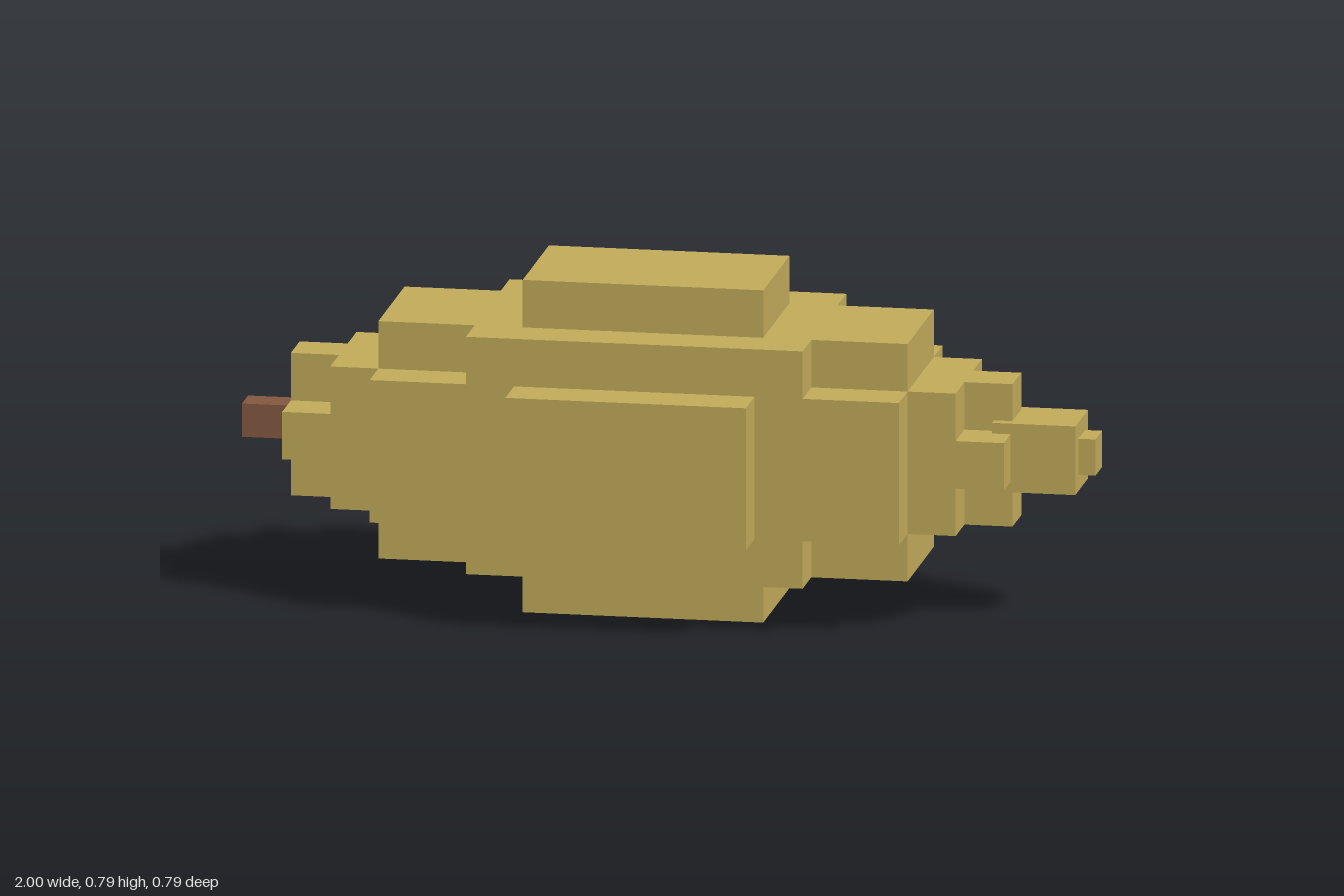
import * as THREE from 'three';

const U = 0.1127;      // one block
const CY = 3.5 * U;    // height of the long axis
const CX = -0.037;     // middle of the body along x

export function createModel() {
  const model = new THREE.Group();
  model.name = 'blockLemon';

  const peel = new THREE.MeshStandardMaterial({ color: 0xc2ab5a });
  peel.name = 'peel';
  const wood = new THREE.MeshStandardMaterial({ color: 0x835840 });
  wood.name = 'stemBrown';

  // Box centred on the long axis, spanning x0 to x1
  function block(name, x0, x1, height, depth, material = peel) {
    const mesh = new THREE.Mesh(new THREE.BoxGeometry(x1 - x0, height, depth), material);
    mesh.position.set((x0 + x1) / 2, CY, 0);
    mesh.name = name;
    model.add(mesh);
  }

  // Body: crossed blocks [name, length, height, depth] in block units
  const body = [
    ['upperLowerBulge', 5, 7, 3],
    ['frontBackBulge', 5, 3, 7],
    ['core', 7, 5, 5],
    ['tallShoulder', 11, 5, 3],
    ['deepShoulder', 11, 3, 5],
    ['neck', 13, 3, 3],
    ['tallEnd', 15, 3, 1],
    ['deepEnd', 15, 1, 3],
  ];
  for (const [name, length, height, depth] of body) {
    const half = length * U / 2;
    block(name, CX - half, CX + half, height * U, depth * U);
  }

  // Pointed tip at one end, stem at the other
  block('tip', 0.765, 0.96, 0.163, 0.163);
  block('tipCap', 0.95, 1, 0.086, 0.086);
  block('stem', -1, -0.87, 0.079, 0.079, wood);

  return model;
}
